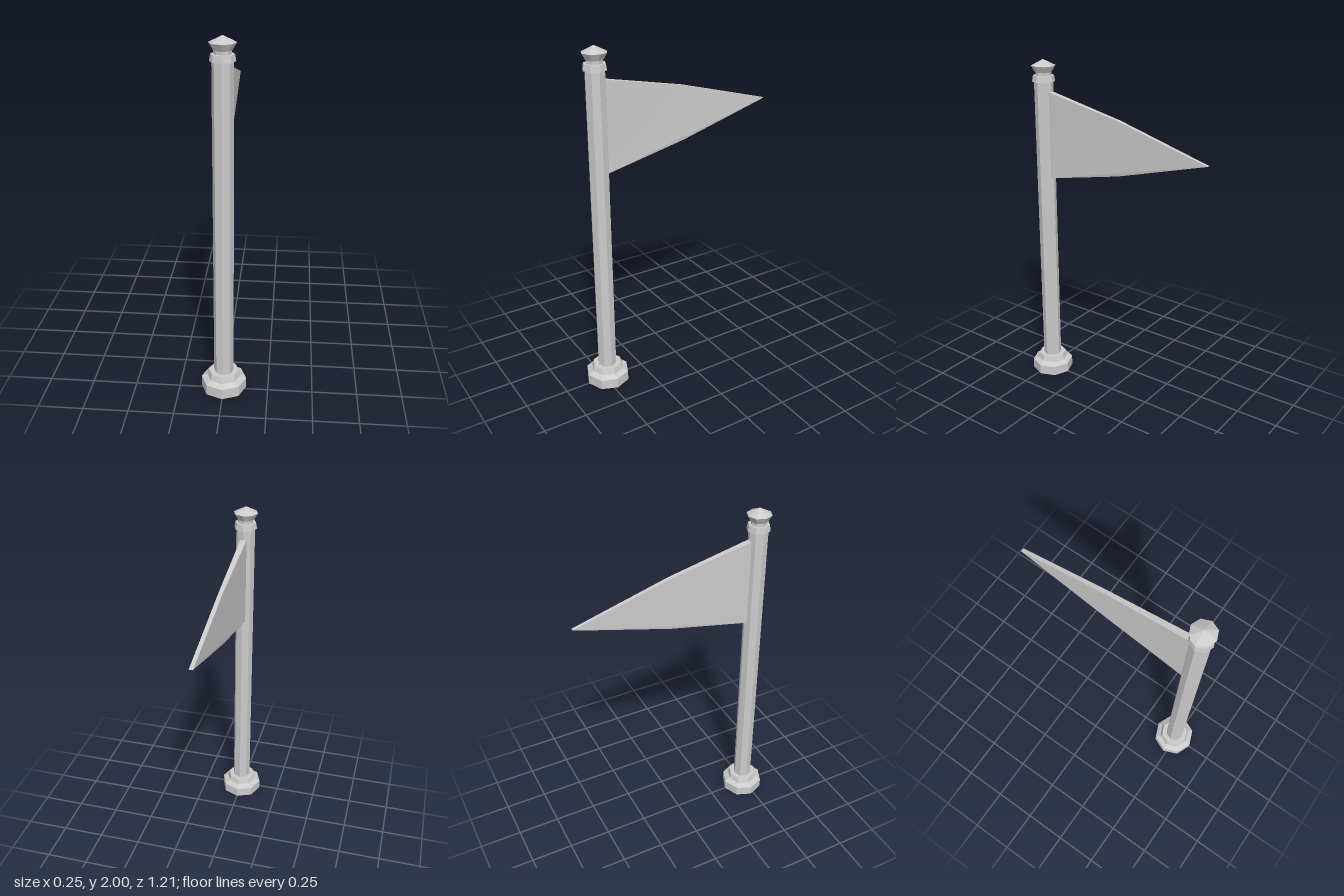
import * as THREE from 'three';

const POLE_Z = 0.48;

export function createModel() {
  const group = new THREE.Group();
  const material = new THREE.MeshStandardMaterial({ color: 0xcccccc, flatShading: true });

  const add = (name, geometry) => {
    geometry.computeVertexNormals();
    const mesh = new THREE.Mesh(geometry, material);
    mesh.name = name;
    group.add(mesh);
    return mesh;
  };

  // Eight-sided turned part from [radius, height] pairs, bottom to top
  const turned = (name, profile) => {
    const points = profile.map(([r, y]) => new THREE.Vector2(r, y));
    add(name, new THREE.LatheGeometry(points, 8)).position.z = POLE_Z;
  };

  turned('base', [[0, 0], [0.127, 0], [0.127, 0.06], [0.095, 0.077], [0.085, 0.11], [0, 0.11]]);
  turned('pole', [[0.055, 0.1], [0.055, 1.885]]);
  turned('collar', [[0.05, 1.875], [0.066, 1.875], [0.06, 1.91], [0.045, 1.91]]);
  turned('neck', [[0.045, 1.9], [0.045, 1.935]]);
  turned('finial', [[0, 1.928], [0.048, 1.928], [0.07, 1.965], [0, 2]]);

  // Pennant outline, running back from the pole to a point
  const outline = new THREE.Shape([
    [-0.43, 1.31], [0.05, 1.41], [0.605, 1.565], [0.05, 1.72], [-0.43, 1.82],
  ].map(([u, y]) => new THREE.Vector2(u, y)));
  const flag = new THREE.ExtrudeGeometry(outline, { depth: 2, bevelEnabled: false });
  flag.translate(0, 0, -1).rotateY(Math.PI / 2);

  // Thin the pennant towards its tip
  const position = flag.attributes.position;
  for (let i = 0; i < position.count; i++) {
    const z = position.getZ(i);
    const half = z > 0.2 ? 0.018 : z > -0.3 ? 0.012 : 0.0105;
    position.setX(i, Math.sign(position.getX(i)) * half);
  }
  add('pennant', flag);

  return group;
}
